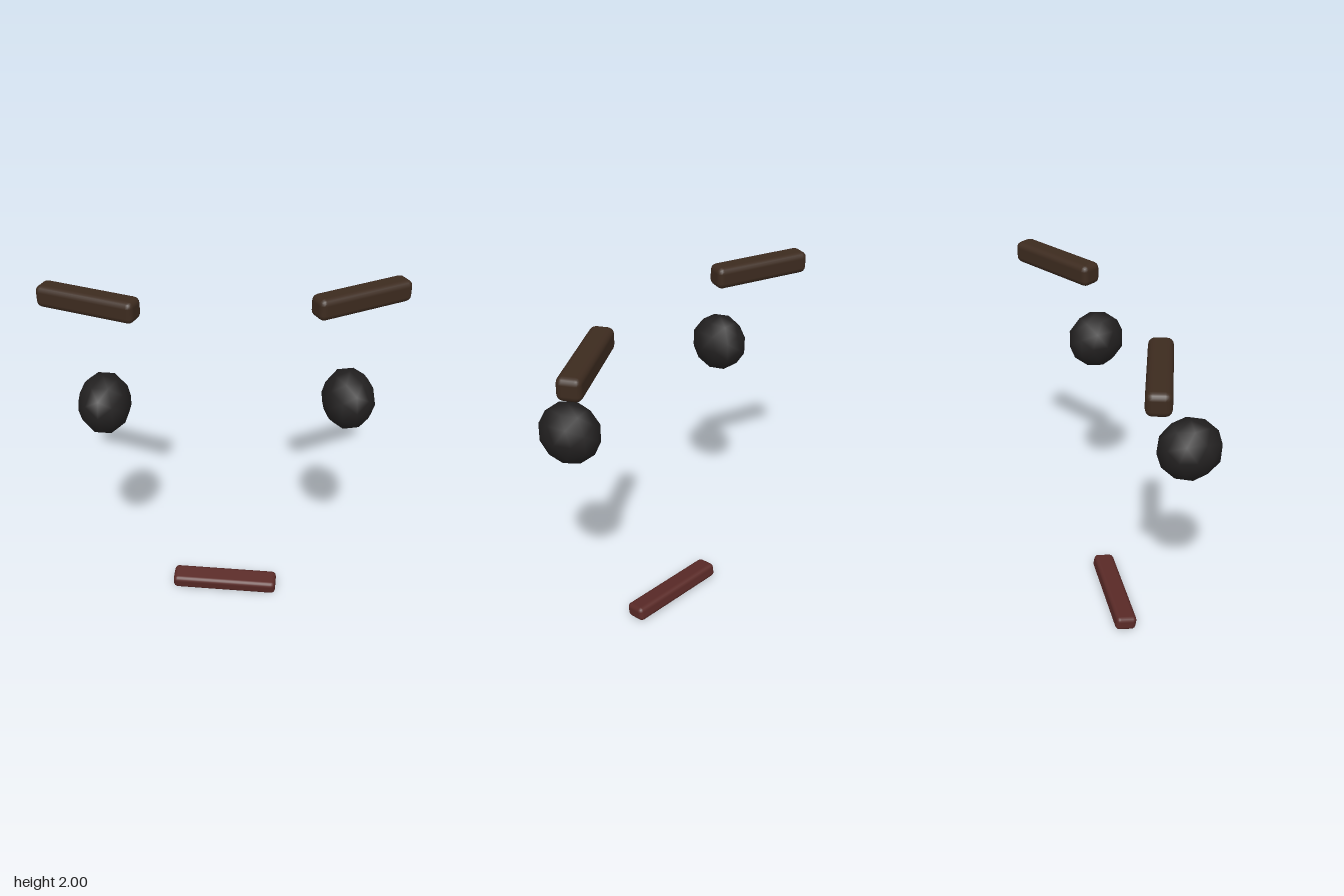
import * as THREE from 'three';
import { RoundedBoxGeometry } from 'three/addons/geometries/RoundedBoxGeometry.js';

const material = (color) => new THREE.MeshStandardMaterial({ color });

export function createModel() {
  const group = new THREE.Group();
  const browMaterial = material(0x3d2b1f);
  const eyeMaterial = material(0x222020);
  const mouthMaterial = material(0x5a2a27);

  const add = (name, geometry, mat, position, rotation = [0, 0]) => {
    const mesh = new THREE.Mesh(geometry, mat);
    mesh.name = name;
    mesh.position.set(...position);
    mesh.rotation.set(rotation[0], rotation[1], 0, 'YXZ');
    group.add(mesh);
    return mesh;
  };

  // Soft-edged bars for the brows, low-poly ellipsoids for the eyes
  const browGeometry = new RoundedBoxGeometry(0.57, 0.12, 0.123, 2, 0.033);
  const eyeGeometry = new THREE.IcosahedronGeometry(1, 1);

  for (const [side, s] of [['left', 1], ['right', -1]]) {
    // Brow, swept back towards its outer end
    add(side + 'Brow', browGeometry, browMaterial, [s * 0.716, 1.94, -0.103], [0, s * 0.436]);

    // Eye below the inner half of the brow
    const eye = add(side + 'Eye', eyeGeometry, eyeMaterial, [s * 0.647, 1.45, 0.1], [0, s * 0.15]);
    eye.scale.set(0.143, 0.166, 0.171);
  }

  // Mouth, turned a little and rolled so its front edge sits lower
  const mouthGeometry = new RoundedBoxGeometry(0.635, 0.088, 0.125, 2, 0.026);
  add('mouth', mouthGeometry, mouthMaterial, [-0.007, 0.05, -0.052], [0.17, -0.14]);

  return group;
}
